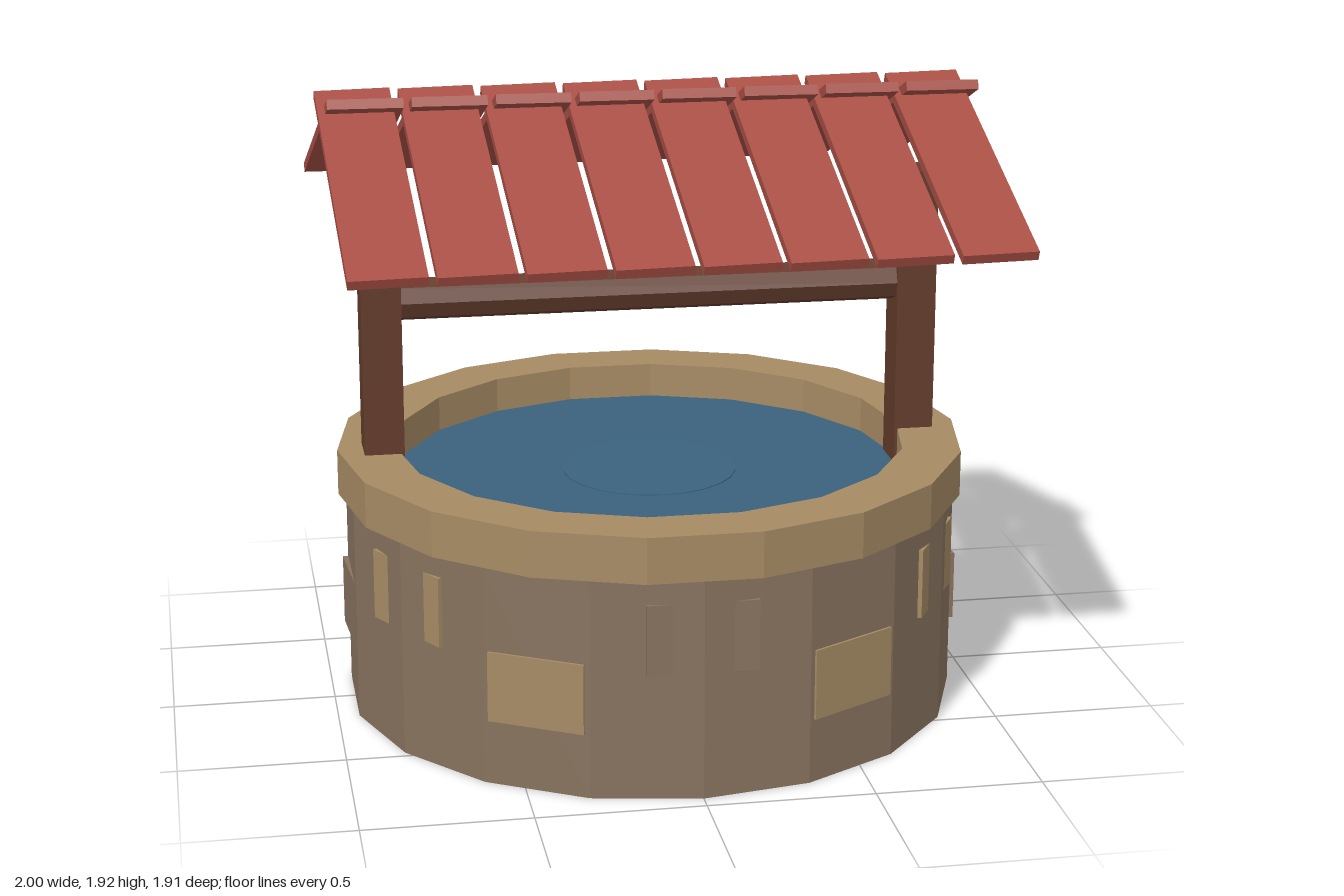
import * as THREE from 'three';

const SIDES = 18;
const deg = THREE.MathUtils.degToRad;

const material = (name, color) => {
  const m = new THREE.MeshStandardMaterial({ color });
  m.name = name;
  return m;
};

// Faceted copy of a geometry
function facet(geometry) {
  const g = geometry.index ? geometry.toNonIndexed() : geometry;
  g.computeVertexNormals();
  return g;
}

function add(parent, name, geometry, mat, x = 0, y = 0, z = 0) {
  const mesh = new THREE.Mesh(facet(geometry), mat);
  mesh.name = name;
  mesh.position.set(x, y, z);
  parent.add(mesh);
  return mesh;
}

const lathe = (points, phi) =>
  new THREE.LatheGeometry(points.map(([r, y]) => new THREE.Vector2(r, y)), SIDES, phi);

export function createModel() {
  const well = new THREE.Group();
  well.name = 'well';
  const wallStone = material('wall stone', 0x88735f);
  const paleStone = material('pale stone', 0xa68b64);
  const wood = material('dark wood', 0x643c2c);
  const tile = material('red roof', 0xa84f45);
  const blue = material('water', 0x3b627d);

  // Round wall and overhanging rim
  add(well, 'wall', lathe([[0, 0], [0.95, 0], [0.95, 0.68]], 0), wallStone);
  add(well, 'rim', lathe([[0.79, 0.67], [0.97, 0.67], [0.97, 0.81], [0.79, 0.81], [0.79, 0.67]], deg(10)), paleStone);

  // Water with a faint raised ripple
  const water = add(well, 'water', new THREE.CircleGeometry(0.8, SIDES), blue, 0, 0.7, 0);
  water.rotation.x = -Math.PI / 2;
  const ripple = add(well, 'ripple', new THREE.CylinderGeometry(0.27, 0.27, 0.006, 24), blue, 0, 0.702, 0);
  ripple.rotation.x = 0.01;

  // Two staggered rows of stones set into the wall
  const stones = new THREE.Group();
  stones.name = 'stones';
  well.add(stones);
  for (let i = 0; i < 12; i++) {
    const a = deg(i * 30);
    const upper = i % 2 === 0;
    const proud = i === 4 || i === 8; // these two stand clear of the wall corners
    const face = proud ? 0.957 : upper ? 0.934 : 0.943;
    const r = face - 0.05;
    const stone = add(stones, 'stone', new THREE.BoxGeometry(upper ? 0.33 : 0.3, 0.215, 0.1),
      i % 3 === 0 ? wallStone : paleStone, r * Math.sin(a), upper ? 0.49 : 0.305, r * Math.cos(a));
    stone.rotation.y = a + (i % 6 === 3 ? 0.07 : 0);
  }

  // Posts and crossbeam
  for (const side of [-1, 1]) {
    add(well, 'post', new THREE.BoxGeometry(0.122, 0.98, 0.136), wood, side * 0.829, 1.14, 0);
  }
  const beam = add(well, 'crossbeam', new THREE.CylinderGeometry(0.065, 0.065, 1.66, 8), wood, 0, 1.28, 0);
  beam.rotation.z = Math.PI / 2;

  // Roof planks crossing at the ridge
  const roof = new THREE.Group();
  roof.name = 'roof';
  well.add(roof);
  for (const side of [-1, 1]) {
    for (let i = 0; i < 8; i++) {
      const plank = add(roof, 'roofPlank', new THREE.BoxGeometry(0.226, 0.03, 0.93), tile,
        -0.875 + i * 0.25, 1.715, side * 0.343);
      plank.rotation.set(side * deg(23.5), 0.03, 0);
    }
  }
  return well;
}
